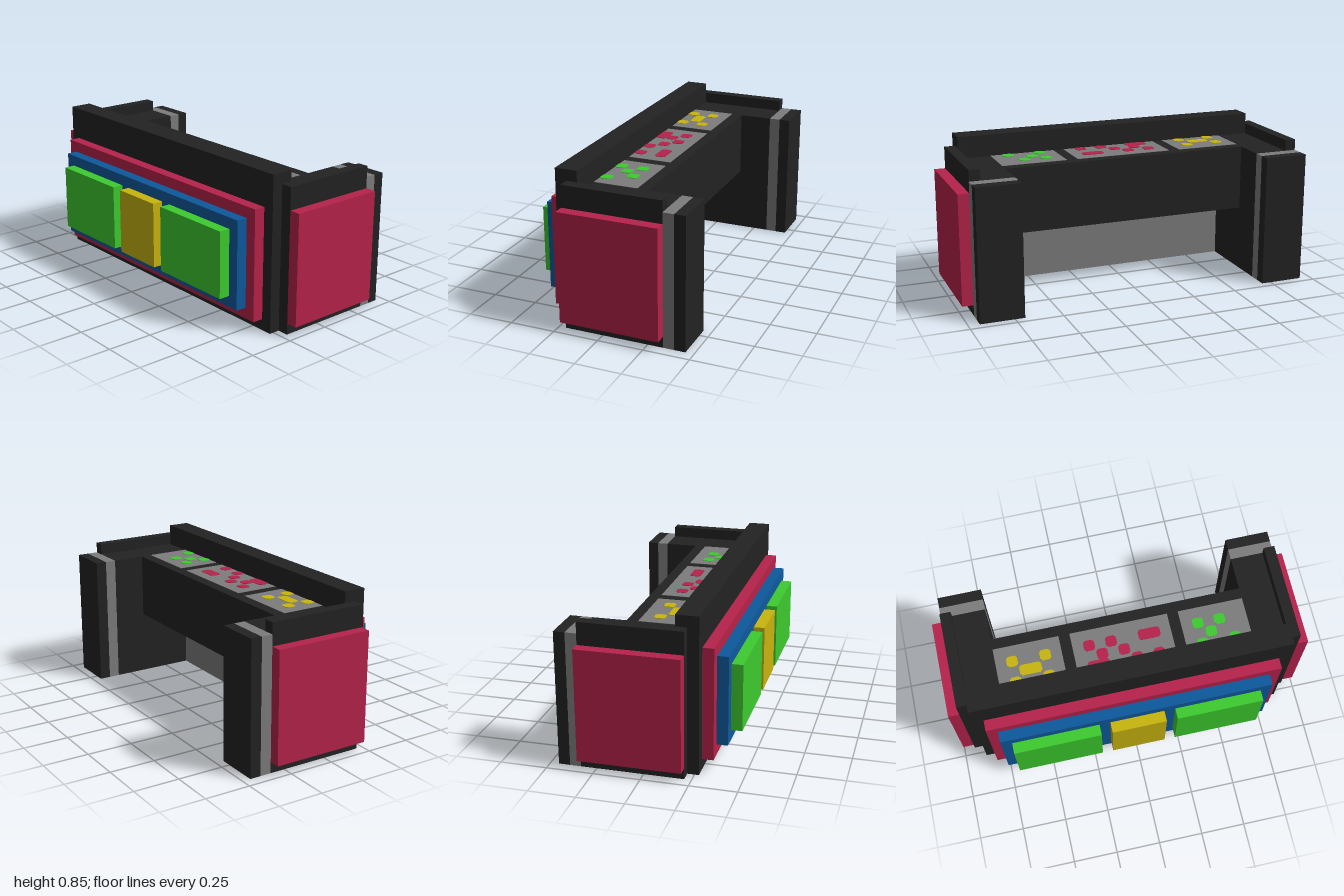
import * as THREE from 'three';

const U = 2 / 33; // one block

const makeMaterial = (name, color) => {
  const m = new THREE.MeshStandardMaterial({ color });
  m.name = name;
  return m;
};

export function createModel() {
  const black = makeMaterial('black', 0x222222);
  const grey = makeMaterial('grey', 0x7c7c7c);
  const red = makeMaterial('red', 0xb6224a);
  const blue = makeMaterial('blue', 0x0e599c);
  const green = makeMaterial('green', 0x3ccb2e);
  const yellow = makeMaterial('yellow', 0xc8b40f);

  const desk = new THREE.Group();
  desk.name = 'controlDesk';

  // Box given by its limits, in blocks
  const box = (name, mat, x0, x1, y0, y1, z0, z1) => {
    const geo = new THREE.BoxGeometry((x1 - x0) * U, (y1 - y0) * U, (z1 - z0) * U);
    const mesh = new THREE.Mesh(geo, mat);
    mesh.name = name;
    mesh.position.set((x0 + x1) / 2 * U, (y0 + y1) / 2 * U, (z0 + z1) / 2 * U);
    desk.add(mesh);
  };

  // Same box on both sides
  const pair = (name, mat, x0, x1, ...rest) => {
    box(name + 'Left', mat, x0, x1, ...rest);
    box(name + 'Right', mat, -x1, -x0, ...rest);
  };

  // Front wall with its raised lip, and the desk body
  box('frontWall', black, -14.5, 14.5, 0, 14, 3.5, 4.5);
  box('frontLip', black, -14.5, 14.5, 12, 14, 2.5, 3.5);
  box('innerWall', black, -11.5, 11.5, 0, 6, 2.5, 3.5);
  box('deskBody', black, -11.5, 11.5, 6, 12, -2.5, 3.5);
  box('kneePanel', grey, -11.5, 11.5, 0, 6, 2.46, 2.5);

  // Stepped front panels
  box('frontPanelOuter', red, -13.5, 13.5, 1, 11, 4.5, 5.5);
  box('frontPanelInner', blue, -12.5, 12.5, 2, 10, 5.5, 6.5);
  pair('frontBlock', green, 3.5, 11.5, 3, 9, 6.5, 7.5);
  box('frontBlockMiddle', yellow, -2.5, 2.5, 3, 9, 6.5, 7.5);

  // Side arms with outer rims, side plates and back ends
  pair('arm', black, 11.5, 14.5, 0, 12, -5.5, 3.5);
  pair('armRim', black, 14.5, 15.5, 0, 13, -5.5, 3.5);
  pair('sidePlate', red, 15.5, 16.5, 1, 11, -5.5, 3.5);
  pair('armBand', grey, 11.5, 15.5, 0, 12, -6.5, -5.5);
  pair('armEnd', black, 11.5, 15.5, 0, 12, -7.5, -6.5);

  // Grey consoles on the desk top
  pair('console', grey, 5.5, 11.5, 12, 12.03, -1.5, 2.5);
  box('consoleMiddle', grey, -4.5, 4.5, 12, 12.03, -1.5, 2.5);

  // Flat button with clipped corners, covering columns a to b of a row
  const button = (mat, row, a, b = a) => {
    const w = (b - a + 1) / 2, h = 0.5, c = 0.2;
    const pts = [[w - c, -h], [w, c - h], [w, h - c], [w - c, h], [c - w, h], [-w, h - c], [-w, c - h], [c - w, -h]];
    const shape = new THREE.Shape(pts.map(([x, y]) => new THREE.Vector2(x * U, y * U)));
    const geo = new THREE.ExtrudeGeometry(shape, { depth: 0.04 * U, bevelEnabled: false });
    const mesh = new THREE.Mesh(geo.rotateX(-Math.PI / 2), mat);
    mesh.name = 'button';
    mesh.position.set((a + b) / 2 * U, 12.03 * U, row * U);
    desk.add(mesh);
  };

  // Buttons: row, first column, last column
  const layout = [
    [yellow, [[0, -10], [0, -7], [1, -9, -8], [2, -10], [2, -7]]],
    [red, [[0, -3], [0, -1], [0, 2, 3], [1, -2], [1, 0], [2, -3, -2], [2, 1], [2, 3]]],
    [green, [[0, 7], [0, 9], [1, 8], [2, 7], [2, 10]]],
  ];
  for (const [mat, list] of layout) for (const b of list) button(mat, ...b);

  return desk;
}
